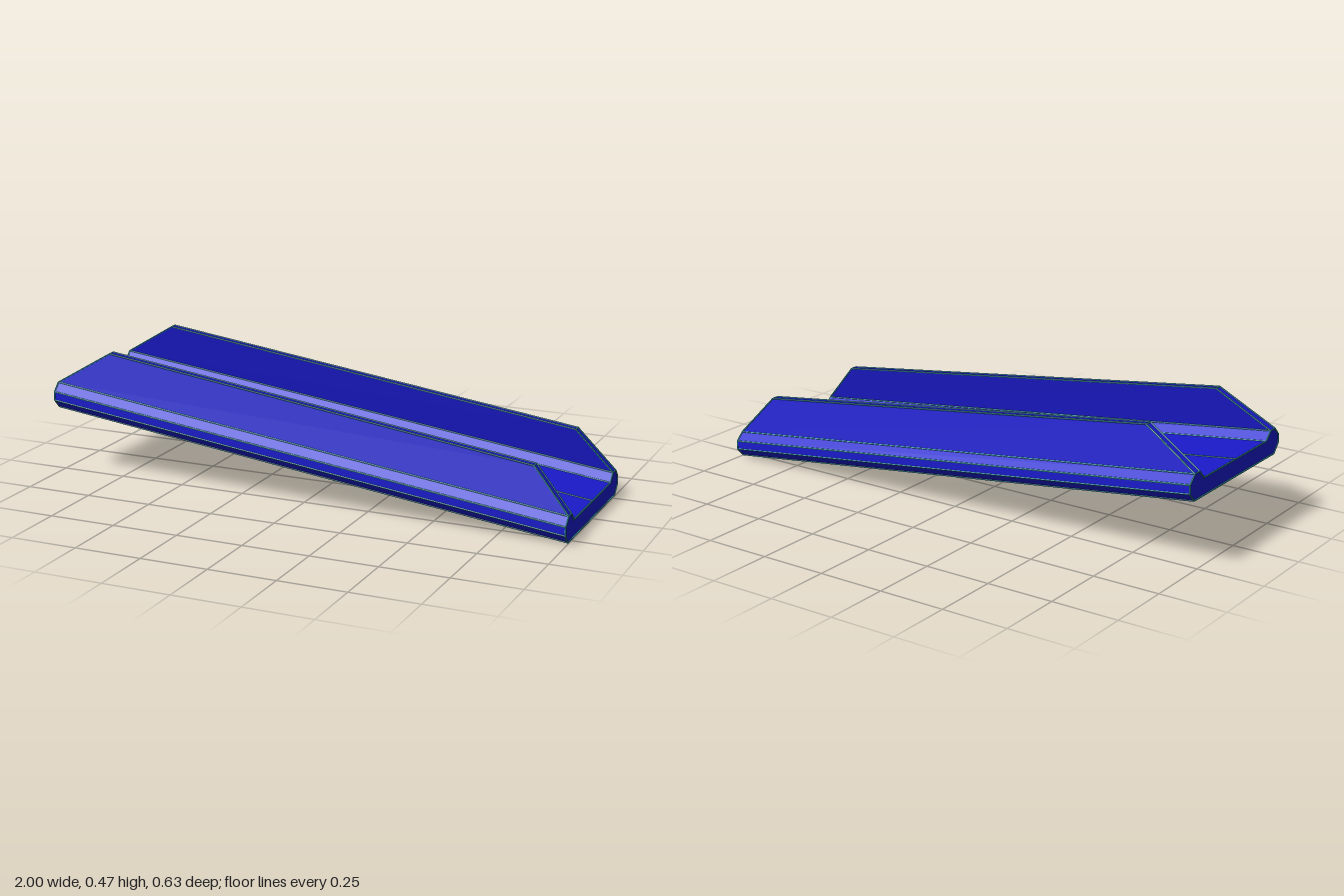
import * as THREE from 'three';

const L = 0.997;                              // half length
const drop = x => 0.125 * (1 - x);            // the whole tray slopes down towards +x
const blue = new THREE.MeshStandardMaterial({ color: 0x1a1acc, flatShading: true });
const teal = new THREE.MeshStandardMaterial({ color: 0x38a8b8, flatShading: true });

// right half of the tray cross-section as [z, y], bottom to floor centre
const half = [[0.282, 0.003], [0.312, 0.035], [0.312, 0.067], [0.282, 0.097],
  [0.25, 0.097], [0.22, 0.066]];
const profile = [...half, [0, 0.066], ...half.map(([z, y]) => [-z, y]).reverse()];

// rail corners: [x, y] of foot and ridge at the low (+x) and high (-x) end
const railEnds = {
  low: { foot: [L, 0.097 + drop(L)], ridge: [0.86, 0.25] },
  high: { foot: [-L, 0.097 + drop(-L)], ridge: [-0.79, 0.47] },
};
const footZ = [0.25, 0.282], ridgeZ = [0.224, 0.251]; // inner, outer

function railPoint(end, level, outer, side) {
  const [x, y] = railEnds[end][level];
  return new THREE.Vector3(x, y, side * (level === 'foot' ? footZ : ridgeZ)[outer]);
}

// sloped tray body
function createTray() {
  const shape = new THREE.Shape(profile.map(([z, y]) => new THREE.Vector2(z, y)));
  const geo = new THREE.ExtrudeGeometry(shape, { depth: 2 * L, bevelEnabled: false });
  geo.translate(0, 0, -L).rotateY(Math.PI / 2);
  const p = geo.attributes.position;
  for (let i = 0; i < p.count; i++) p.setY(i, p.getY(i) + drop(p.getX(i)));
  geo.computeVertexNormals();
  return new THREE.Mesh(geo, blue);
}

// inward-leaning side rail: a box with its corners moved into place
function createRail(side) {
  const geo = new THREE.BoxGeometry(1, 1, 1);
  const p = geo.attributes.position;
  for (let i = 0; i < p.count; i++) {
    const outer = p.getZ(i) * side > 0 ? 1 : 0;
    const v = railPoint(p.getX(i) > 0 ? 'low' : 'high', p.getY(i) > 0 ? 'ridge' : 'foot', outer, side);
    p.setXYZ(i, v.x, v.y, v.z);
  }
  geo.computeVertexNormals();
  return new THREE.Mesh(geo, blue);
}

// thin trim bar between two corners
function addTrim(group, a, b) {
  const dir = b.clone().sub(a);
  const bar = new THREE.Mesh(new THREE.CylinderGeometry(0.003, 0.003, dir.length(), 6), teal);
  bar.position.copy(a).add(b).multiplyScalar(0.5);
  bar.quaternion.setFromUnitVectors(new THREE.Vector3(0, 1, 0), dir.normalize());
  bar.name = 'edgeTrimBar';
  group.add(bar);
}

export function createModel() {
  const model = new THREE.Group();
  model.name = 'slopedTray';

  const tray = createTray();
  tray.name = 'trayBody';
  model.add(tray);

  const trim = new THREE.Group();
  trim.name = 'edgeTrim';
  model.add(trim);

  // trim along the tray and around both ends
  const at = ([z, y], x) => new THREE.Vector3(x, y + drop(x), z);
  profile.forEach((pt, i) => {
    const next = profile[(i + 1) % profile.length];
    addTrim(trim, at(pt, -L), at(pt, L));
    for (const x of [-L, L]) addTrim(trim, at(pt, x), at(next, x));
  });

  // rails with trim on ridges and sloping ends
  for (const side of [1, -1]) {
    const rail = createRail(side);
    rail.name = side > 0 ? 'frontRail' : 'backRail';
    model.add(rail);
    for (const outer of [0, 1]) {
      addTrim(trim, railPoint('low', 'ridge', outer, side), railPoint('high', 'ridge', outer, side));
      for (const end of ['low', 'high'])
        addTrim(trim, railPoint(end, 'foot', outer, side), railPoint(end, 'ridge', outer, side));
    }
    for (const end of ['low', 'high'])
      addTrim(trim, railPoint(end, 'ridge', 0, side), railPoint(end, 'ridge', 1, side));
  }
  return model;
}
